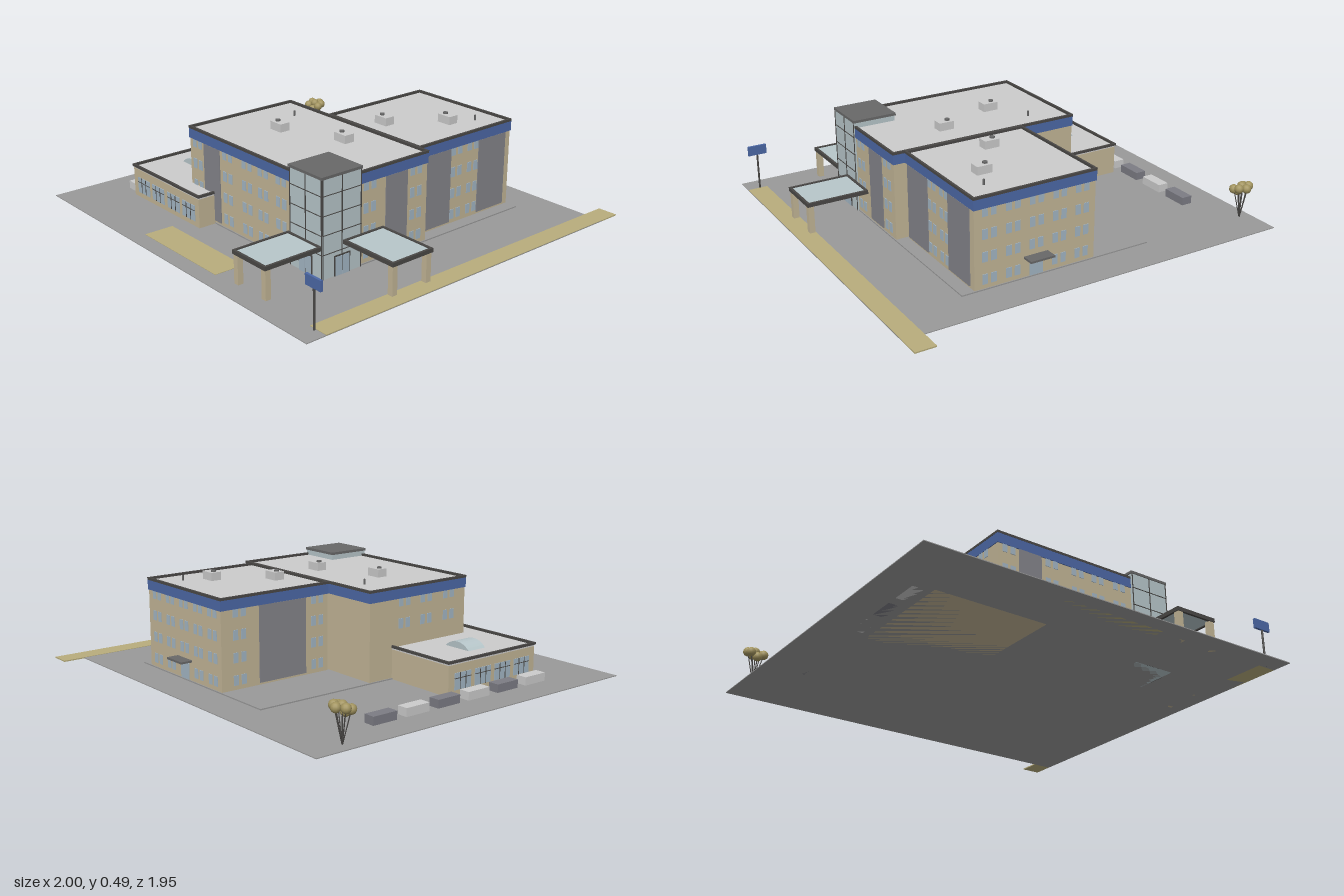
import * as THREE from 'three';

const mat = (color) => new THREE.MeshStandardMaterial({ color });
const M = {
  wall: mat(0xc2b596), roof: mat(0xcccccc), ground: mat(0x999999), dark: mat(0x686868),
  panel: mat(0x84848a), trim: mat(0x4a4846), blue: mat(0x4c68a6), glass: mat(0xb7c6ca),
  pane: mat(0xa3b6c4), grass: mat(0xb8ad7c), leaf: mat(0xa2945f), hedgeDark: mat(0x7c7c84),
};

function add(parent, name, geo, material, x = 0, y = 0, z = 0) {
  const m = new THREE.Mesh(geo, material);
  m.name = name;
  m.position.set(x, y, z);
  parent.add(m);
  return m;
}

// box given by its extents on each axis
function block(parent, name, material, x0, x1, y0, y1, z0, z1) {
  return add(parent, name, new THREE.BoxGeometry(x1 - x0, y1 - y0, z1 - z0), material,
    (x0 + x1) / 2, (y0 + y1) / 2, (z0 + z1) / 2);
}

// rectangular ring lying flat, outer edges given
function ring(parent, name, material, x0, x1, y0, y1, z0, z1, t) {
  const s = new THREE.Shape();
  s.moveTo(x0, -z1); s.lineTo(x1, -z1); s.lineTo(x1, -z0); s.lineTo(x0, -z0); s.closePath();
  const h = new THREE.Path();
  h.moveTo(x0 + t, -z1 + t); h.lineTo(x0 + t, -z0 - t); h.lineTo(x1 - t, -z0 - t); h.lineTo(x1 - t, -z1 + t);
  h.closePath();
  s.holes.push(h);
  const geo = new THREE.ExtrudeGeometry(s, { depth: y1 - y0, bevelEnabled: false });
  geo.rotateX(-Math.PI / 2);
  return add(parent, name, geo, material, 0, y0, 0);
}

// thin plate on a wall: axis 'x' or 'z', wall at pos, facing sign, centred on u along the wall
function plate(parent, name, material, [axis, pos, sign], u, y, w, h, d = 0.004) {
  const geo = axis === 'z' ? new THREE.BoxGeometry(w, h, d) : new THREE.BoxGeometry(d, h, w);
  const c = pos + sign * (d / 2 - 0.001);
  return axis === 'z' ? add(parent, name, geo, material, u, y, c) : add(parent, name, geo, material, c, y, u);
}

// columns of paired windows over several floors
function windowPairs(parent, wall, centres, firstFloor = 0) {
  for (const u of centres) for (let f = firstFloor; f < 4; f++) for (const s of [-1, 1])
    plate(parent, 'window', M.pane, wall, u + s * 0.022, 0.055 + f * 0.107, 0.027, 0.048);
}

function darkPanel(parent, wall, u0, u1) {
  plate(parent, 'wallPanel', M.panel, wall, (u0 + u1) / 2, 0.205, u1 - u0, 0.37, 0.006);
}

// walls, flat roof and raised coping
function building(root, name, x0, x1, z0, z1, top, band) {
  const g = new THREE.Group();
  g.name = name;
  root.add(g);
  block(g, 'walls', M.wall, x0 + 0.005, x1 - 0.005, 0, top - 0.02, z0 + 0.005, z1 - 0.005);
  block(g, 'roof', M.roof, x0 + 0.006, x1 - 0.006, top - 0.02, top - 0.012, z0 + 0.006, z1 - 0.006);
  if (band) ring(g, 'blueBand', M.blue, x0 + 0.001, x1 - 0.001, 0.39, top - 0.012, z0 + 0.001, z1 - 0.001, 0.01);
  ring(g, 'coping', M.trim, x0, x1, top - 0.012, top, z0, z1, 0.011);
  return g;
}

// glazed canopy with a dark frame on square posts
function canopy(root, name, x0, x1, z0, z1, posts) {
  const g = new THREE.Group();
  g.name = name;
  root.add(g);
  ring(g, 'canopyFrame', M.trim, x0, x1, 0.143, 0.162, z0, z1, 0.012);
  block(g, 'canopyGlass', M.glass, x0 + 0.011, x1 - 0.011, 0.148, 0.157, z0 + 0.011, z1 - 0.011);
  for (const [x, z] of posts) block(g, 'post', M.wall, x - 0.014, x + 0.014, 0, 0.145, z - 0.014, z + 0.014);
}

export function createModel() {
  const root = new THREE.Group();
  root.name = 'hospitalSite';

  // site
  block(root, 'ground', M.ground, -1, 1, 0, 0.004, -0.87, 0.97);
  block(root, 'grassStrip', M.grass, 0.9, 1, 0, 0.006, -0.98, 0.87);
  block(root, 'frontLawn', M.grass, -0.285, 0.28, 0, 0.006, 0.74, 0.89);
  block(root, 'plinth', M.ground, -0.375, 0.62, 0, 0.01, -0.685, 0.565);

  // main block
  const main = building(root, 'mainBlock', -0.375, 0.62, -0.06, 0.565, 0.45, true);
  const mainFront = ['z', 0.56, 1], mainRight = ['x', 0.615, 1];
  windowPairs(main, mainFront, [-0.31, -0.07, 0.08, 0.2, 0.33]);
  darkPanel(main, mainFront, -0.255, -0.13);
  windowPairs(main, mainRight, [0.295, 0.015]);
  darkPanel(main, mainRight, 0.07, 0.2);
  windowPairs(main, ['x', -0.37, -1], [0.16, 0.3, 0.45], 2);

  // rear wing
  const rear = building(root, 'rearWing', -0.075, 0.56, -0.685, -0.06, 0.45, true);
  const rearRight = ['x', 0.555, 1], rearLeft = ['x', -0.07, -1], rearBack = ['z', -0.68, -1];
  windowPairs(rear, rearRight, [-0.31, -0.42]);
  darkPanel(rear, rearRight, -0.27, -0.08);
  darkPanel(rear, rearRight, -0.645, -0.46);
  windowPairs(rear, rearLeft, [-0.58, -0.13]);
  darkPanel(rear, rearLeft, -0.47, -0.2);
  windowPairs(rear, rearBack, [0, 0.12, 0.36, 0.48]);
  windowPairs(rear, rearBack, [0.24], 1);
  plate(rear, 'rearDoor', M.pane, rearBack, 0.24, 0.05, 0.07, 0.08);
  block(rear, 'rearDoorCanopy', M.dark, 0.18, 0.305, 0.1, 0.11, -0.74, -0.68);

  // low wing with wide windows
  const low = building(root, 'lowWing', -0.755, -0.175, 0.08, 0.66, 0.17, false);
  const wideWindows = (wall, centres) => {
    for (const u of centres) {
      plate(low, 'wideWindow', M.pane, wall, u, 0.07, 0.104, 0.08);
      for (const s of [-1, 1]) plate(low, 'mullion', M.trim, wall, u + s * 0.018, 0.07, 0.003, 0.08, 0.006);
      plate(low, 'transom', M.trim, wall, u, 0.085, 0.104, 0.003, 0.006);
    }
  };
  wideWindows(['z', 0.655, 1], [-0.66, -0.53, -0.395, -0.265]);
  wideWindows(['x', -0.75, -1], [0.175, 0.305, 0.435, 0.565]);

  // vaulted skylight
  const vault = new THREE.Shape();
  vault.moveTo(-0.077, 0);
  vault.lineTo(0.077, 0);
  vault.quadraticCurveTo(0.045, 0.033, 0, 0.033);
  vault.quadraticCurveTo(-0.045, 0.033, -0.077, 0);
  add(low, 'skylight', new THREE.ExtrudeGeometry(vault, { depth: 0.11, bevelEnabled: false, curveSegments: 5 }),
    M.glass, -0.567, 0.157, 0.32);

  // glass entrance tower
  const tower = new THREE.Group();
  tower.name = 'entranceTower';
  root.add(tower);
  block(tower, 'towerGlass', M.glass, 0.405, 0.623, 0, 0.465, 0.35, 0.573);
  block(tower, 'towerRoof', M.dark, 0.4, 0.626, 0.465, 0.478, 0.345, 0.577);
  const faces = [[['z', 0.573, 1], 0.405, 0.623], [['x', 0.623, 1], 0.35, 0.573]];
  for (const [wall, u0, u1] of faces) {
    const mid = (u0 + u1) / 2;
    for (const u of [u0 + 0.003, mid, u1 - 0.003])
      plate(tower, 'towerMullion', M.trim, wall, u, 0.235, 0.004, 0.46);
    for (const y of [0.12, 0.21, 0.3, 0.39])
      plate(tower, 'towerTransom', M.trim, wall, mid, y, u1 - u0, 0.003);
    plate(tower, 'doorFrame', M.trim, wall, mid, 0.05, 0.09, 0.1, 0.005);
    for (const s of [-1, 1]) plate(tower, 'doorLeaf', M.pane, wall, mid + s * 0.021, 0.049, 0.038, 0.09, 0.007);
  }

  canopy(root, 'frontCanopy', 0.393, 0.622, 0.573, 0.878, [[0.412, 0.86], [0.604, 0.86]]);
  canopy(root, 'sideCanopy', 0.623, 0.936, 0.22, 0.455, [[0.917, 0.24], [0.917, 0.437]]);

  // rooftop units with fans, and vent pipes
  for (const [x, z] of [[0.37, -0.435], [0.185, -0.19], [0.25, 0.125], [-0.07, 0.25]]) {
    const unit = new THREE.Group();
    unit.name = 'rooftopUnit';
    unit.position.set(x, 0.436, z);
    root.add(unit);
    block(unit, 'unitBody', M.roof, -0.039, 0.039, 0, 0.042, -0.027, 0.027);
    add(unit, 'unitFan', new THREE.CylinderGeometry(0.012, 0.012, 0.008, 12), M.dark, -0.015, 0.046, 0);
  }
  for (const [x, z] of [[0.435, -0.56], [-0.19, 0.065]])
    add(root, 'ventPipe', new THREE.CylinderGeometry(0.005, 0.005, 0.03, 8), M.dark, x, 0.449, z);

  // row of parked blocks along the left edge
  for (let i = 0; i < 6; i++) {
    const z = -0.375 + i * 0.188;
    block(root, 'parkedBlock', i % 2 ? M.roof : M.hedgeDark, -0.843, -0.787, 0, 0.044, z - 0.067, z + 0.067);
  }

  // roadside sign
  const sign = new THREE.Group();
  sign.name = 'sign';
  root.add(sign);
  add(sign, 'signPole', new THREE.CylinderGeometry(0.005, 0.005, 0.235, 8), M.trim, 0.936, 0.1175, 0.878);
  block(sign, 'signBoard', M.blue, 0.887, 0.982, 0.188, 0.237, 0.872, 0.884);

  // tree with splayed branches and ball foliage
  const tree = new THREE.Group();
  tree.name = 'tree';
  tree.position.set(-0.94, 0, -0.69);
  root.add(tree);
  const balls = [[0, 0.165, -0.035], [-0.035, 0.165, -0.01], [0.033, 0.166, -0.018], [-0.03, 0.155, 0.022],
    [0.04, 0.158, 0.01], [0.005, 0.138, 0.02], [0, 0.168, 0]];
  for (const [x, y, z] of balls) {
    add(tree, 'foliage', new THREE.SphereGeometry(0.023, 12, 8), M.leaf, x, y, z);
    const path = new THREE.LineCurve3(new THREE.Vector3(0, 0, 0), new THREE.Vector3(x, y, z));
    add(tree, 'branch', new THREE.TubeGeometry(path, 1, 0.0025, 5), M.trim);
  }
  return root;
}
